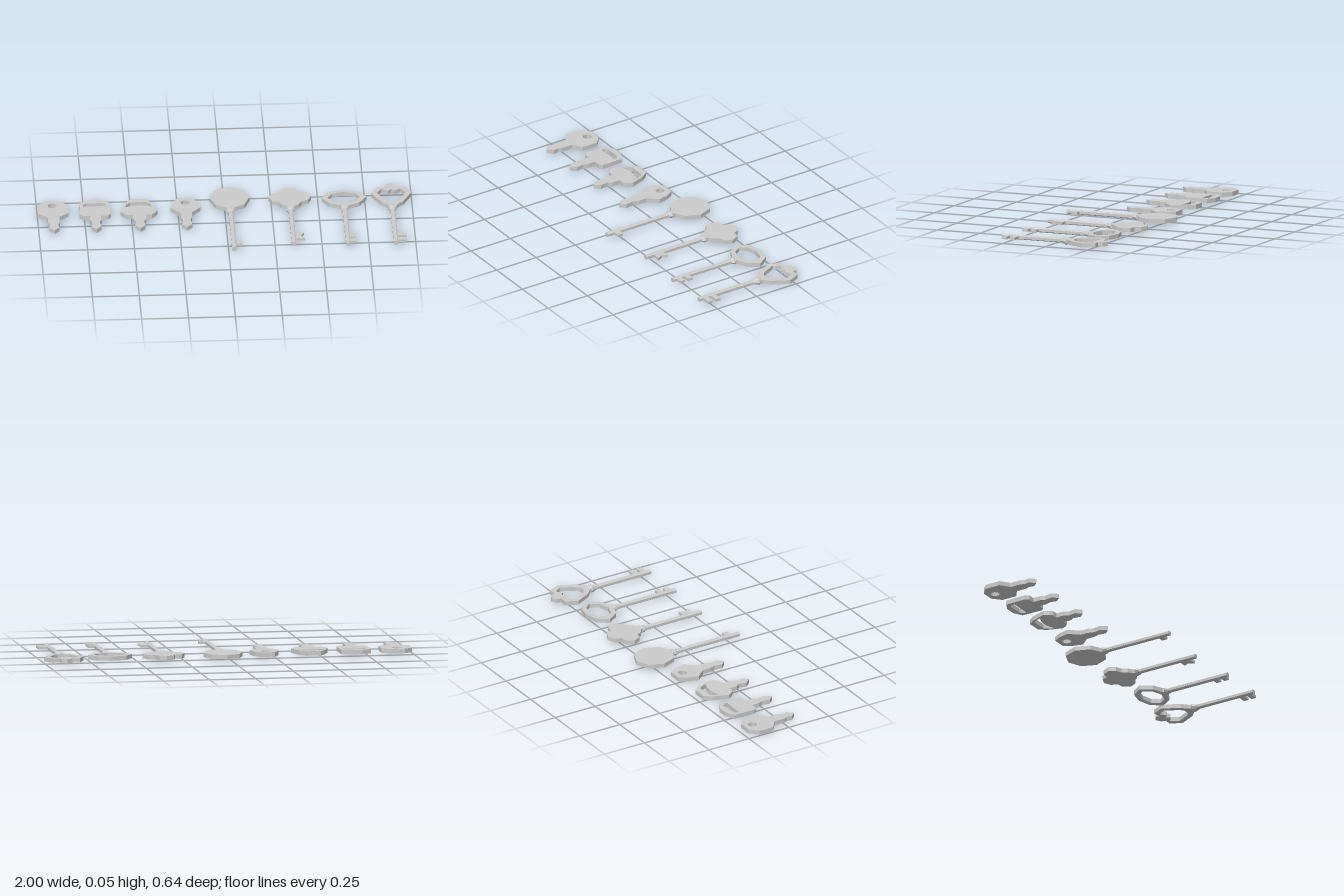
import * as THREE from 'three';

const material = new THREE.MeshStandardMaterial({ color: 0xcccccc, flatShading: true });
const MID = 0.0225; // centre height of the long keys

// Full outline from a half outline [x, z] running from the far end to the near end
function mirror(half) {
  const other = half.filter(p => p[0] > 0).map(([x, z]) => [-x, z]).reverse();
  return half.concat(other);
}

function circle(z, r, n) {
  return Array.from({ length: n }, (_, i) => {
    const a = (i + 0.5) / n * Math.PI * 2;
    return [r * Math.cos(a), z + r * Math.sin(a)];
  });
}

// Outlines and holes both end up counter-clockwise
const toPoints = list => list.map(([x, z]) => new THREE.Vector2(x, -z)).reverse();

function part(name, geo) {
  const mesh = new THREE.Mesh(geo, material);
  mesh.name = name;
  return mesh;
}

// Flat plate lying in the ground plane, between two heights
function plate(name, outline, y0, y1, hole) {
  const shape = new THREE.Shape(toPoints(outline));
  if (hole) shape.holes.push(new THREE.Path(toPoints(hole)));
  const geo = new THREE.ExtrudeGeometry(shape, { depth: y1 - y0, bevelEnabled: false });
  return part(name, geo.rotateX(-Math.PI / 2).translate(0, y0, 0));
}

// Chamfered bar along z
function shaft(z0, z1) {
  const section = mirror([[0.006, 0.0115], [0.0125, 0.007], [0.0125, -0.007], [0.006, -0.0115]]);
  const geo = new THREE.ExtrudeGeometry(new THREE.Shape(toPoints(section)), { depth: z1 - z0, bevelEnabled: false });
  return part('shaft', geo.translate(0, MID, z0));
}

// Eight-sided collar along z, profile [radius, z], widened sideways
function collar(profile, widen) {
  const geo = new THREE.LatheGeometry(profile.map(([r, z]) => new THREE.Vector2(r, z)), 8);
  return part('collar', geo.rotateX(Math.PI / 2).scale(widen, 1, 1).translate(0, MID, 0));
}

// Short flat keys: position, half outline, hole
const tip = [[0.02, 0.006], [0.027, 0.05], [0, 0.08]];
const flatKeys = [
  {
    name: 'roundHeadKey', x: -0.917,
    half: [[0.037, -0.228], [0.083, -0.187], [0.083, -0.1], [0.031, -0.062], [0.031, 0], [0.022, 0.02], ...tip.slice(1)],
    hole: circle(-0.18, 0.025, 8),
  },
  {
    name: 'squareHeadKey', x: -0.693,
    half: [[0.03, -0.228], [0.08, -0.202], [0.083, -0.08], [0.067, -0.063], [0.03, -0.063], [0.03, -0.02], ...tip],
    hole: mirror([[0.043, -0.196], [0.06, -0.182], [0.06, -0.164]]),
  },
  {
    name: 'wideHeadKey', x: -0.458,
    half: [[0.04, -0.228], [0.07, -0.19], [0.099, -0.105], [0.083, -0.078], [0.067, -0.063], [0.035, -0.063], [0.035, -0.015], ...tip],
    hole: mirror([[0.043, -0.196], [0.06, -0.178], [0.072, -0.146], [0.04, -0.158], [0, -0.164]]),
  },
  {
    name: 'pointedHeadKey', x: -0.209,
    half: [[0.04, -0.228], [0.064, -0.185], [0.079, -0.127], [0.031, -0.073], [0.03, -0.025], ...tip],
    hole: circle(-0.18, 0.025, 8),
  },
];

// Long keys: head outline, opening, shaft end, collar and bit outlines
const smallCollar = { profile: [[0.012, -0.098], [0.017, -0.09], [0.017, -0.082], [0.012, -0.068]], widen: 1.4 };
const tooth = (x, z0, z1) => [[0, z0], [x, z0], [x, z1], [0, z1]];
const longKeys = [
  {
    name: 'octagonKey', x: 0.03, end: 0.32, collar: smallCollar,
    half: [[0, -0.32], [0.076, -0.288], [0.107, -0.21], [0.076, -0.132], [0.02, -0.104], [0.02, -0.092]],
    bits: [tooth(0.045, 0.244, 0.277)],
  },
  {
    name: 'cloverKey', x: 0.35, end: 0.282, collar: smallCollar,
    half: [[0, -0.3], [0.04, -0.282], [0.053, -0.248], [0.093, -0.242], [0.113, -0.199], [0.096, -0.163],
      [0.062, -0.15], [0.045, -0.12], [0.02, -0.104], [0.02, -0.092]],
    bits: [[[0, 0.176], [0.058, 0.176], [0.04, 0.206], [0.06, 0.238], [0, 0.234]]],
  },
  {
    name: 'ringKey', x: 0.638, end: 0.299, collar: smallCollar,
    half: [[0, -0.264], [0.079, -0.244], [0.12, -0.184], [0.08, -0.122], [0.024, -0.098], [0.022, -0.09]],
    hole: mirror([[0, -0.237], [0.06, -0.222], [0.088, -0.184], [0.06, -0.14], [0, -0.121]]),
    bits: [tooth(0.045, 0.2, 0.229), tooth(0.045, 0.249, 0.277)],
  },
  {
    name: 'heartKey', x: 0.893, end: 0.299,
    collar: { profile: [[0.012, -0.097], [0.0225, -0.075], [0.0125, -0.045]], widen: 1.15 },
    half: [[0, -0.32], [0.03, -0.303], [0.034, -0.278], [0.076, -0.281], [0.107, -0.217], [0.06, -0.125], [0.026, -0.094], [0.024, -0.082]],
    hole: mirror([[0, -0.256], [0.017, -0.237], [0.05, -0.261], [0.077, -0.22], [0.04, -0.145], [0.018, -0.127]]),
    bits: [tooth(0.06, 0.2, 0.229), tooth(0.06, 0.249, 0.277)],
  },
];

export function createModel() {
  const model = new THREE.Group();
  model.name = 'keySet';

  for (const k of flatKeys) {
    const key = plate(k.name, mirror(k.half), 0.005, 0.029, k.hole);
    key.position.set(k.x, 0, 0.003);
    model.add(key);
  }

  for (const k of longKeys) {
    const key = new THREE.Group();
    key.name = k.name;
    key.position.x = k.x;
    key.add(plate('head', mirror(k.half), MID - 0.0115, MID + 0.0115, k.hole));
    key.add(collar(k.collar.profile, k.collar.widen));
    key.add(shaft(-0.095, k.end));
    for (const b of k.bits) key.add(plate('bit', b, MID - 0.007, MID + 0.007));
    model.add(key);
  }
  return model;
}
